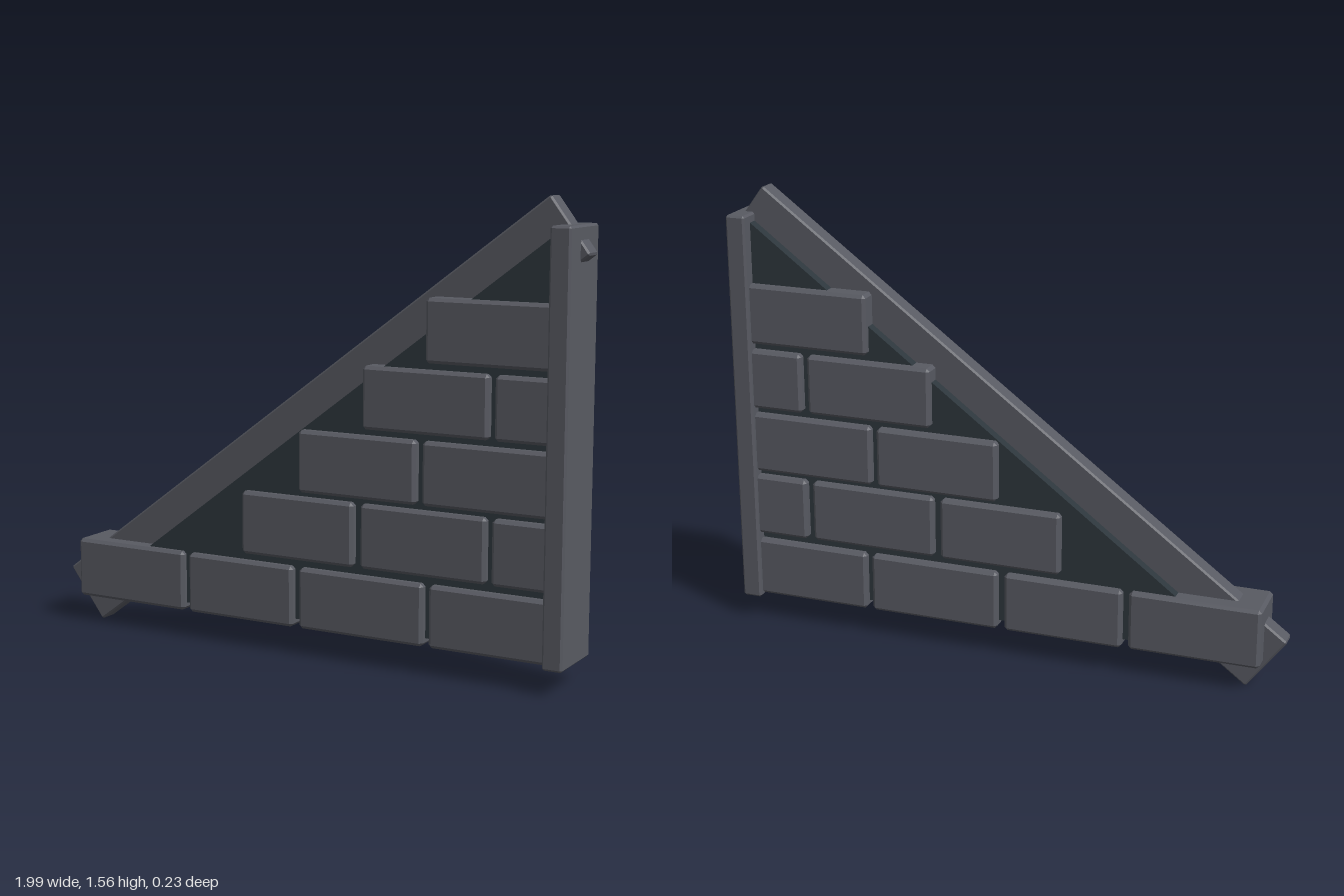
import * as THREE from 'three';
import { ConvexGeometry } from 'three/addons/geometries/ConvexGeometry.js';

const stone = new THREE.MeshStandardMaterial({ name: 'slate grey stone', color: 0x585a62 });
const mortar = new THREE.MeshStandardMaterial({ name: 'dark mortar', color: 0x2d363c });

// Box with every edge cut by a flat chamfer c
function chamferBox(name, w, h, d, c) {
  const pts = [];
  for (const sx of [-1, 1]) for (const sy of [-1, 1]) for (const sz of [-1, 1]) {
    const x = w / 2, y = h / 2, z = d / 2;
    pts.push(
      new THREE.Vector3(sx * x, sy * (y - c), sz * (z - c)),
      new THREE.Vector3(sx * (x - c), sy * y, sz * (z - c)),
      new THREE.Vector3(sx * (x - c), sy * (y - c), sz * z));
  }
  const mesh = new THREE.Mesh(new ConvexGeometry(pts), stone);
  mesh.name = name;
  return mesh;
}

export function createModel() {
  const model = new THREE.Group();
  model.name = 'triangularWall';

  // Sloping beam along the top
  const beam = chamferBox('slopingBeam', 2.325, 0.225, 0.07, 0.006);
  beam.position.set(0, 0.795, 0);
  beam.rotation.z = Math.atan2(1.39, 1.86);
  model.add(beam);

  // Upright end post
  const post = chamferBox('endPost', 0.07, 1.395, 0.23, 0.007);
  post.position.set(0.931, 0.7925, 0);
  model.add(post);

  // Triangular infill panel behind the bricks
  const tri = new THREE.Shape([
    new THREE.Vector2(-0.87, 0.13), new THREE.Vector2(0.92, 0.13), new THREE.Vector2(0.92, 1.478),
  ]);
  const panelGeo = new THREE.ExtrudeGeometry(tri, { depth: 0.14, bevelEnabled: false });
  panelGeo.translate(0, 0, -0.07);
  const panel = new THREE.Mesh(panelGeo, mortar);
  panel.name = 'infillPanel';
  model.add(panel);

  // Brick courses: bottom, top, then [left, right, depth] of each brick
  const courses = [
    [0.105, 0.315, [[-0.92, -0.468, 0.186], [-0.445, -0.025, 0.194], [0, 0.467, 0.194], [0.488, 0.91, 0.194]]],
    [0.34, 0.558, [[-0.225, 0.207, 0.196], [0.233, 0.688, 0.19], [0.71, 0.91, 0.2]]],
    [0.575, 0.787, [[0, 0.438, 0.2], [0.46, 0.91, 0.194]]],
    [0.808, 1.018, [[0.24, 0.692, 0.194], [0.714, 0.91, 0.2]]],
    [1.04, 1.25, [[0.468, 0.91, 0.194]]],
  ];
  const bricks = new THREE.Group();
  bricks.name = 'bricks';
  for (const [y0, y1, row] of courses) {
    for (const [x0, x1, d] of row) {
      const brick = chamferBox('brick', x1 - x0, y1 - y0, d, 0.011);
      brick.position.set((x0 + x1) / 2, (y0 + y1) / 2, 0);
      bricks.add(brick);
    }
  }
  model.add(bricks);
  return model;
}
